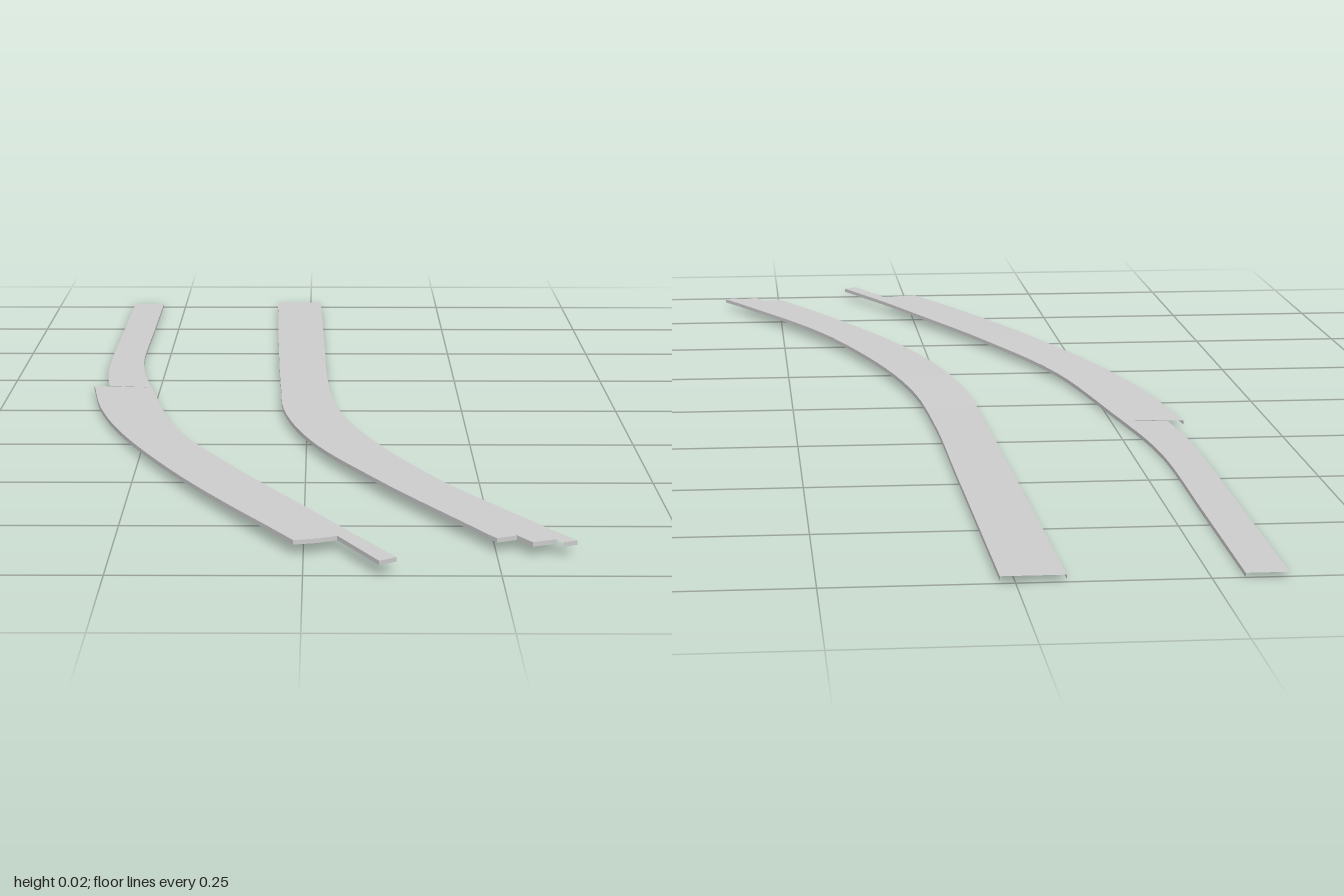
import * as THREE from 'three';

const CURB = 0.006; // depth of the curb faces below the paving

// piecewise smooth height of the paving along z
function heightCurve(pairs) {
  return (z) => {
    let i = 0;
    while (i < pairs.length - 2 && z > pairs[i + 1][0]) i++;
    const [z0, y0] = pairs[i], [z1, y1] = pairs[i + 1];
    return y0 + (y1 - y0) * THREE.MathUtils.clamp((z - z0) / (z1 - z0), 0, 1);
  };
}

// edge line on the ground, sampled from [x, z] points and lifted to its height
function edge(points, height, n = 40) {
  const curve = new THREE.CatmullRomCurve3(points.map(([x, z]) => new THREE.Vector3(x, 0, z)), false, 'centripetal');
  const samples = points.length === 2 ? curve.getSpacedPoints(1) : curve.getSpacedPoints(n);
  return samples.map((p) => p.setY(height(p.z)));
}

// surface lofted between two edge lines
function ribbon(name, a, b) {
  const pos = [], index = [];
  a.forEach((p, i) => {
    pos.push(p.x, p.y, p.z, b[i].x, b[i].y, b[i].z);
    if (i) {
      const k = 2 * i;
      index.push(k - 2, k, k + 1, k - 2, k + 1, k - 1);
    }
  });
  const geo = new THREE.BufferGeometry();
  geo.setAttribute('position', new THREE.Float32BufferAttribute(pos, 3));
  geo.setIndex(index);
  geo.computeVertexNormals();
  const mesh = new THREE.Mesh(geo, new THREE.MeshStandardMaterial({ color: 0xcccccc, side: THREE.DoubleSide }));
  mesh.name = name;
  return mesh;
}

const lower = (line) => line.map((p) => p.clone().setY(p.y - CURB));
const leftCurb = (line) => ribbon('leftCurb', lower(line), line);
const rightCurb = (line) => ribbon('rightCurb', line, lower(line));

// short straight-sided piece at the ragged end of a walkway
function endTab(group, left, right, height, curbLeft, curbRight) {
  const a = edge(left, height), b = edge(right, height);
  group.add(ribbon('endTab', a, b));
  const front = [a[1], b[1]];
  group.add(ribbon('endFace', front, lower(front)));
  if (curbLeft) group.add(leftCurb(a));
  if (curbRight) group.add(rightCurb(b));
}

export function createModel() {
  const model = new THREE.Group();
  model.name = 'walkways';

  // outer walkway: narrow straight part, wide curved part, thin tail
  const outer = new THREE.Group();
  outer.name = 'outerWalkway';
  const hOuter = heightCurve([[-1, 0.0085], [-0.4, 0.0085], [-0.16, 0.0105], [0.2, 0.0155], [0.5, 0.0195], [0.8, 0.0225], [1, 0.022]]);
  const narrowL = edge([[-0.35, -1], [-0.35, -0.7], [-0.35, -0.4], [-0.346, -0.28], [-0.335, -0.165]], hOuter);
  const narrowR = edge([[-0.293, -1], [-0.293, -0.7], [-0.292, -0.4], [-0.282, -0.28], [-0.263, -0.15]], hOuter);
  const wideL = edge([[-0.36, -0.163], [-0.333, 0.03], [-0.286, 0.225], [-0.193, 0.495], [-0.1, 0.715], [-0.02, 0.885]], hOuter);
  const wideR = edge([[-0.263, -0.15], [-0.2, 0.2], [-0.1, 0.48], [0, 0.715], [0.06, 0.855]], hOuter);
  outer.add(ribbon('narrowPaving', narrowL, narrowR), rightCurb(narrowR));
  outer.add(ribbon('widePaving', wideL, wideR), leftCurb(wideL), rightCurb(wideR));
  endTab(outer, [[-0.02, 0.885], [-0.013, 0.9]], [[0.01, 0.873], [0.018, 0.892]], hOuter, true, false);
  endTab(outer, [[0.01, 0.873], [0.018, 0.892]], [[0.038, 0.863], [0.044, 0.878]], hOuter, false, false);
  endTab(outer, [[0.038, 0.863], [0.096, 1]], [[0.06, 0.855], [0.118, 0.982]], hOuter, true, true);
  model.add(outer);

  // inner walkway: even width, stepped end
  const inner = new THREE.Group();
  inner.name = 'innerWalkway';
  const hInner = heightCurve([[-1, 0.012], [-0.4, 0.0125], [-0.1, 0.0145], [0.2, 0.0185], [0.5, 0.022], [0.7, 0.022], [0.9, 0.021]]);
  const innerL = edge([[-0.065, -1], [-0.055, -0.5], [-0.045, -0.13], [-0.035, 0.08], [0.013, 0.32], [0.11, 0.58], [0.241, 0.865]], hInner);
  const innerR = edge([[0.02, -1], [0.028, -0.5], [0.034, -0.18], [0.05, 0.05], [0.093, 0.265], [0.188, 0.555], [0.325, 0.84]], hInner);
  inner.add(ribbon('paving', innerL, innerR), leftCurb(innerL), rightCurb(innerR));
  endTab(inner, [[0.241, 0.865], [0.251, 0.884]], [[0.271, 0.856], [0.278, 0.87]], hInner, true, false);
  endTab(inner, [[0.271, 0.856], [0.296, 0.904]], [[0.305, 0.846], [0.328, 0.888]], hInner, true, false);
  endTab(inner, [[0.305, 0.846], [0.335, 0.904]], [[0.325, 0.84], [0.354, 0.894]], hInner, false, true);
  model.add(inner);

  return model;
}
